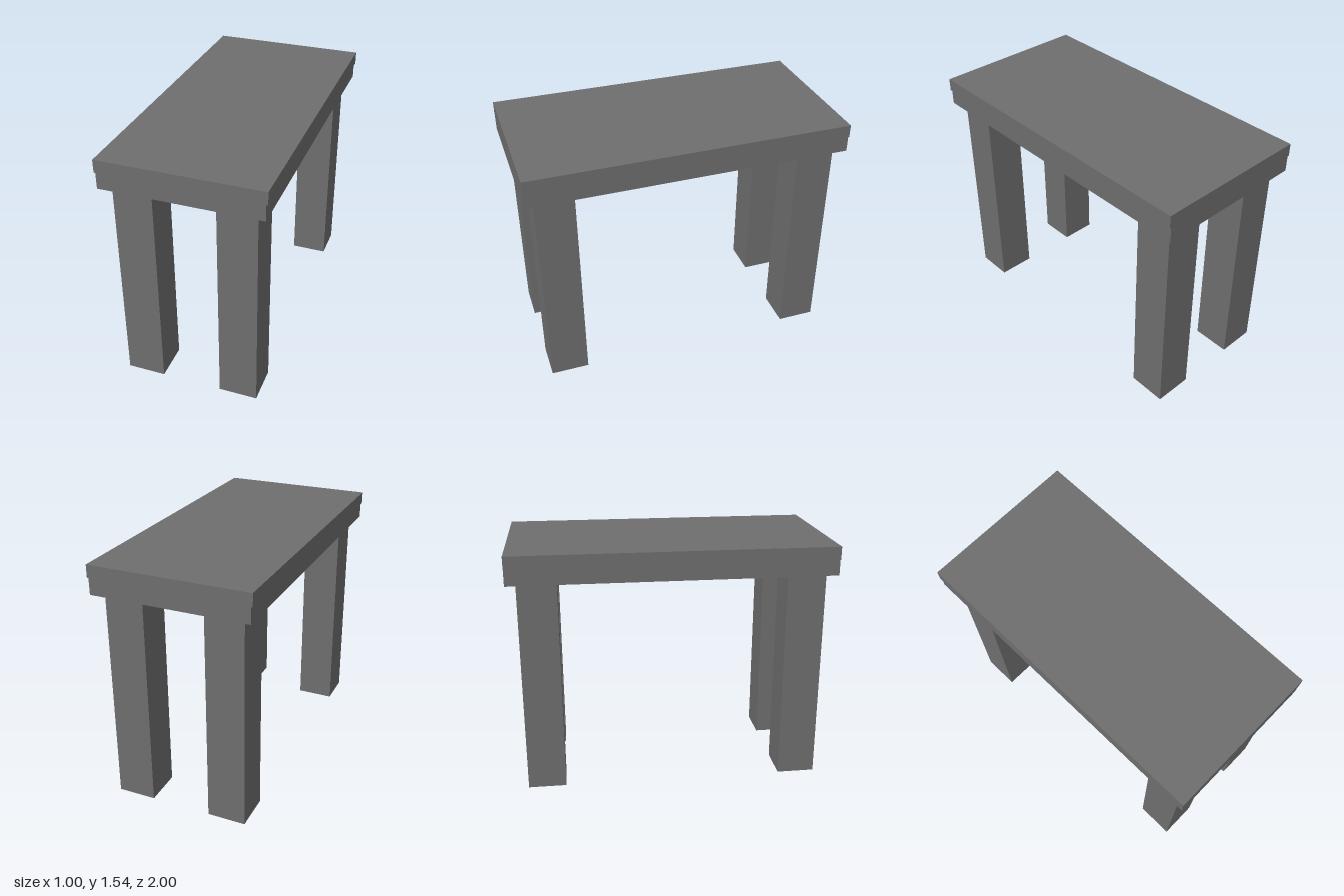
import * as THREE from 'three';

export function createModel() {
  const table = new THREE.Group();
  table.name = 'table';
  const grey = new THREE.MeshStandardMaterial({ color: 0x6e6e6e });
  grey.name = 'grey';

  const add = (name, geometry, x, y, z) => {
    const mesh = new THREE.Mesh(geometry, grey);
    mesh.name = name;
    mesh.position.set(x, y, z);
    table.add(mesh);
    return mesh;
  };
  const box = (name, w, h, d, x, y, z) => add(name, new THREE.BoxGeometry(w, h, d), x, y, z);

  // Table top
  box('tableTop', 1, 0.08, 2, 0, 1.5, 0);

  // Apron frame under the top, with two cross bars
  const railY = 1.41, railH = 0.1, thick = 0.06;
  for (const s of [1, -1]) {
    const side = s > 0 ? 'left' : 'right', end = s > 0 ? 'front' : 'back';
    box(side + 'Rail', thick, railH, 2 - 2 * thick, s * 0.46, railY, 0);
    box(end + 'Rail', 0.98, railH, thick, 0, railY, s * 0.97);
    box(end + 'CrossBar', 0.86, railH, 0.08, 0, railY, s * 0.33);
  }

  // Hollow square legs, reaching up inside the frame to the top
  const square = (Type, r) => new Type([[-r, -r], [r, -r], [r, r], [-r, r]].map(([x, y]) => new THREE.Vector2(x, y)));
  const section = square(THREE.Shape, 0.12);
  section.holes.push(square(THREE.Path, 0.06));
  const legGeometry = new THREE.ExtrudeGeometry(section, { depth: 1.46, bevelEnabled: false });
  legGeometry.rotateX(-Math.PI / 2);
  for (const sx of [1, -1]) {
    for (const sz of [1, -1]) {
      const name = (sz > 0 ? 'front' : 'back') + (sx > 0 ? 'Left' : 'Right') + 'Leg';
      add(name, legGeometry, sx * 0.31, 0, sz * 0.82);
    }
  }
  return table;
}
